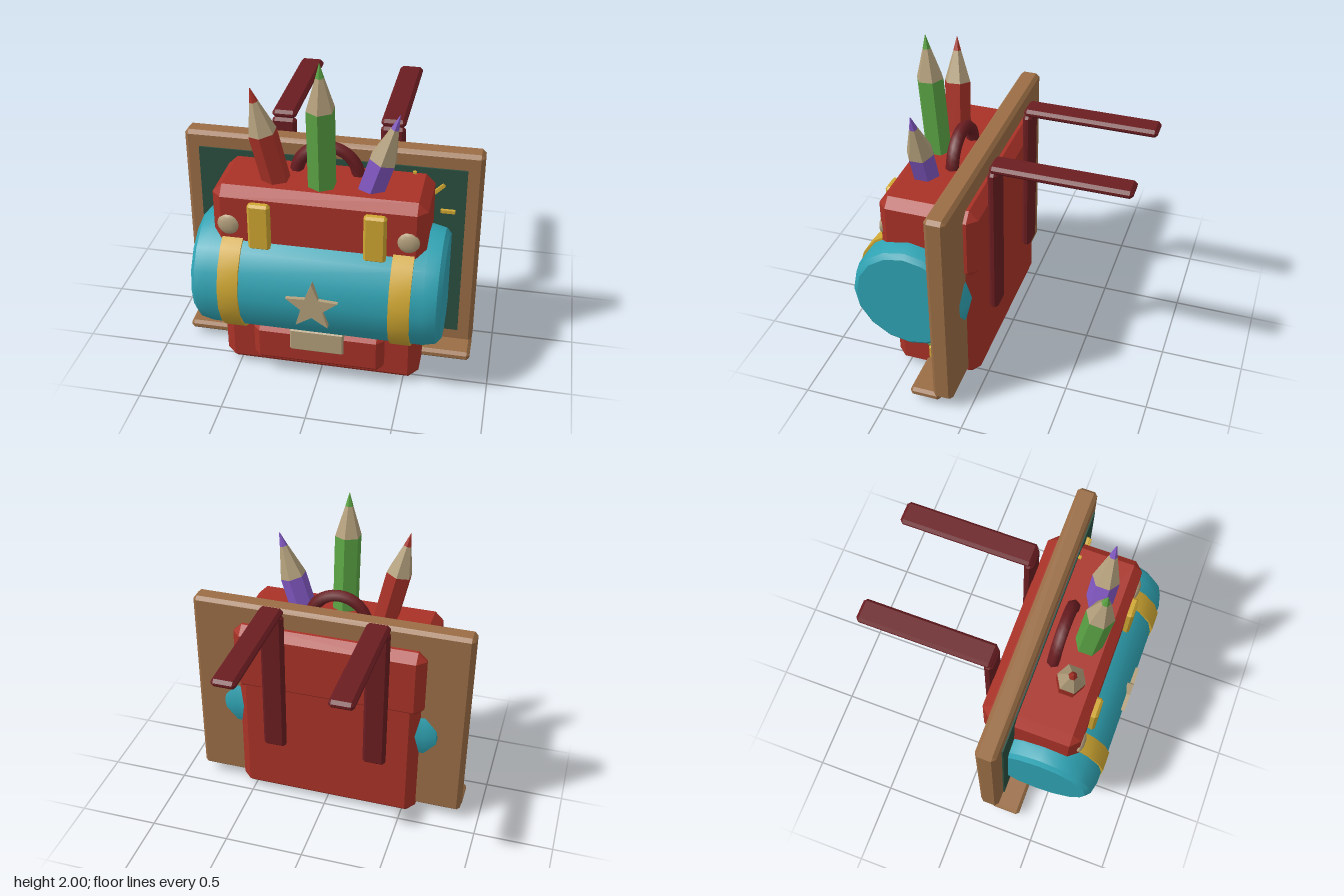
import * as THREE from 'three';
import { toCreasedNormals } from 'three/addons/utils/BufferGeometryUtils.js';
import { ConvexGeometry } from 'three/addons/geometries/ConvexGeometry.js';

const mat = (name, color, extra = {}) => {
  const m = new THREE.MeshStandardMaterial({ color, ...extra });
  m.name = name;
  return m;
};

// Box with chamfered edges, given by its min and max corners
function chamferBox([x0, y0, z0], [x1, y1, z1], c) {
  const h = [(x1 - x0) / 2, (y1 - y0) / 2, (z1 - z0) / 2];
  const pts = [];
  for (const sx of [-1, 1]) for (const sy of [-1, 1]) for (const sz of [-1, 1]) {
    for (let full = 0; full < 3; full++) {
      const k = h.map((v, i) => (i === full ? v : v - c));
      pts.push(new THREE.Vector3(sx * k[0], sy * k[1], sz * k[2]));
    }
  }
  return new ConvexGeometry(pts).translate((x0 + x1) / 2, (y0 + y1) / 2, (z0 + z1) / 2);
}

// Lathe about the x axis, with phi = 0 facing the front
function latheX(profile, segments, start = 0, length = Math.PI * 2) {
  const pts = profile.map(([r, x]) => new THREE.Vector2(r, x));
  const g = new THREE.LatheGeometry(pts, segments, start, length).rotateZ(-Math.PI / 2);
  return toCreasedNormals(g, 0.45);
}

export function createModel() {
  const root = new THREE.Group();
  root.name = 'schoolBackpack';

  const red = mat('red', 0xa93227);
  const darkRed = mat('darkRed', 0x6a1d21);
  const teal = mat('teal', 0x2fa3b3);
  const yellow = mat('yellow', 0xcfa732, { side: THREE.DoubleSide });
  const boardGreen = mat('boardGreen', 0x2b4f40);
  const wood = mat('wood', 0x9a6d45);
  const tan = mat('tan', 0xb5a17d);
  const green = mat('green', 0x5ca545);
  const purple = mat('purple', 0x8258c2);

  const add = (name, geometry, material, parent = root) => {
    const mesh = new THREE.Mesh(geometry, material);
    mesh.name = name;
    parent.add(mesh);
    return mesh;
  };
  const box = (name, min, max, c, material) => add(name, chamferBox(min, max, c), material);

  // Pack
  box('packBody', [-0.59, 0, 0.04], [0.59, 1.0, 0.58], 0.06, red);
  box('packLid', [-0.61, 0.79, 0.025], [0.61, 1.25, 0.625], 0.055, red);
  box('frontPocket', [-0.39, 0.1, 0.5], [0.39, 0.36, 0.66], 0.04, red);
  box('pocketLabel', [-0.16, 0.225, 0.62], [0.16, 0.37, 0.68], 0.008, tan);

  // Bed roll with chamfered ends
  const roll = latheX([[0, -0.72], [0.31, -0.72], [0.34, -0.695], [0.357, -0.62],
    [0.357, 0.62], [0.34, 0.695], [0.31, 0.72], [0, 0.72]], 16);
  add('bedRoll', roll, teal).position.set(0, 0.63, 0.43);

  for (const s of [-1, 1]) {
    const side = s > 0 ? 'left' : 'right';
    const at = (a, b) => (s > 0 ? [a, b] : [-b, -a]);

    // Strap around the front of the roll
    const band = latheX([[0.34, -0.06], [0.369, -0.06], [0.369, 0.06], [0.34, 0.06]],
      8, -1.5, 2.75);
    add(side + 'RollStrap', band, yellow).position.set(s * 0.49, 0.63, 0.43);

    // Lid strap and button
    const [b0, b1] = at(0.265, 0.392);
    box(side + 'LidStrap', [b0, 0.89, 0.6], [b1, 1.18, 0.665], 0.014, yellow);
    const button = new THREE.SphereGeometry(0.065, 10, 8);
    const b = add(side + 'Button', button, tan);
    b.scale.z = 0.4;
    b.position.set(s * 0.512, 1.02, 0.62);

    // Shoulder strap: one piece down the back, one reaching backwards
    const [s0, s1] = at(0.255, 0.4);
    box(side + 'ShoulderStrapDown', [s0, 0.43, -0.028], [s1, 1.41, 0.028], 0.018, darkRed);
    box(side + 'ShoulderStrapOut', [s0, 1.405, -0.8], [s1, 1.455, 0.02], 0.018, darkRed);
  }

  // Carrying handle
  const handle = new THREE.TorusGeometry(0.18, 0.04, 6, 16, Math.PI);
  add('carryHandle', handle, darkRed).position.set(0, 1.23, 0.32);

  // Star on the roll
  const star = new THREE.Shape();
  for (let i = 0; i < 10; i++) {
    const r = i % 2 ? 0.067 : 0.157;
    const a = Math.PI / 2 + (i * Math.PI) / 5;
    star[i ? 'lineTo' : 'moveTo'](r * Math.cos(a), r * Math.sin(a));
  }
  star.closePath();
  const starGeo = new THREE.ExtrudeGeometry(star, { depth: 0.04, bevelEnabled: false });
  add('star', starGeo, tan).position.set(0, 0.633, 0.76);

  // Chalkboard
  box('boardFrame', [-0.88, 0.065, 0.1], [0.88, 1.38, 0.225], 0.022, wood);
  box('boardLedge', [-0.88, 0.04, 0.18], [0.88, 0.098, 0.37], 0.018, wood);
  const slate = new THREE.BoxGeometry(1.58, 1.115, 0.009);
  add('boardSurface', slate, boardGreen).position.set(0, 0.73, 0.232 + 0.003);

  // Sun drawn on the board
  const sun = new THREE.Group();
  sun.name = 'sunDrawing';
  sun.position.set(0.49, 1.02, 0.248);
  root.add(sun);
  add('sunDisc', new THREE.CylinderGeometry(0.11, 0.11, 0.02, 16).rotateX(Math.PI / 2), yellow, sun);
  for (let i = 0; i < 8; i++) {
    const ray = new THREE.BoxGeometry(0.085, 0.02, 0.02).translate(0.2, 0, 0);
    add('sunRay', ray, yellow, sun).rotation.z = (i * Math.PI) / 4;
  }

  // Chalk and sponge on the ledge
  const chalk = new THREE.CylinderGeometry(0.024, 0.024, 0.15, 8).rotateZ(Math.PI / 2);
  add('chalk', chalk, tan).position.set(-0.575, 0.122, 0.3);
  box('sponge', [0.45, 0.098, 0.235], [0.605, 0.2, 0.355], 0.012, yellow);
  box('spongeTop', [0.45, 0.197, 0.235], [0.605, 0.23, 0.36], 0.01, green);

  // Six-sided pencils: body, sharpened wood and coloured lead
  const pencil = (name, color, base, tip, cone, r) => {
    const g = new THREE.Group();
    g.name = name;
    const from = new THREE.Vector3(...base);
    const dir = new THREE.Vector3(...tip).sub(from);
    const total = dir.length();
    const sink = 0.2;
    const body = total - cone;
    const lead = cone * 0.3;
    const hex = (part, top, bottom, y0, y1, m) => {
      const geo = new THREE.CylinderGeometry(top, bottom, y1 - y0, 6);
      add(part, toCreasedNormals(geo.translate(0, (y0 + y1) / 2, 0), 0.3), m, g);
    };
    hex('pencilBody', r, r, -sink, body, color);
    hex('pencilWood', r * 0.3, r, body, total - lead, tan);
    hex('pencilLead', 0.002, r * 0.3, total - lead, total, color);
    g.position.copy(from);
    g.quaternion.setFromUnitVectors(new THREE.Vector3(0, 1, 0), dir.normalize());
    root.add(g);
  };
  pencil('greenPencil', green, [0, 1.25, 0.475], [0, 2, 0.525], 0.27, 0.083);
  pencil('redPencil', red, [-0.272, 1.25, 0.45], [-0.392, 1.81, 0.485], 0.275, 0.083);
  pencil('purplePencil', purple, [0.28, 1.25, 0.445], [0.425, 1.71, 0.458], 0.295, 0.083);

  return root;
}
